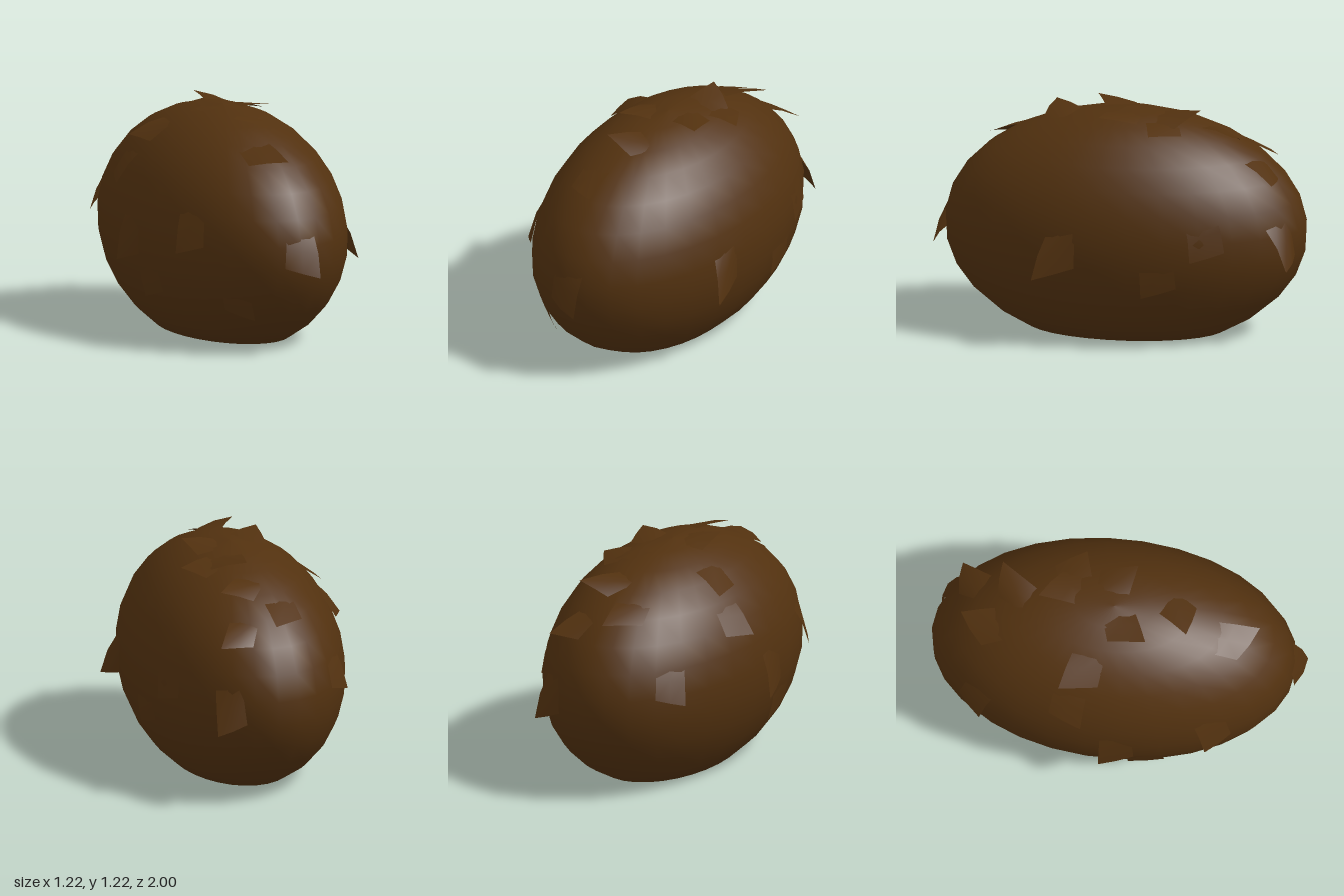
import * as THREE from 'three';

const RADII = new THREE.Vector3(0.575, 0.655, 0.975);
const CENTRE = new THREE.Vector3(0, 0.55, -0.025);

// Egg-like body with a flat underside, smooth all round
function bodyGeometry() {
  const rows = 12;
  const cut = Math.acos(-CENTRE.y / RADII.y);
  const profile = [new THREE.Vector2(0, -CENTRE.y / RADII.y)];
  for (let i = rows; i >= 0; i--) {
    const a = (cut * i) / rows;
    profile.push(new THREE.Vector2(i ? Math.sin(a) : 0, Math.cos(a)));
  }
  const geometry = new THREE.LatheGeometry(profile, 30);
  geometry.scale(RADII.x, RADII.y, RADII.z);
  geometry.translate(CENTRE.x, CENTRE.y, CENTRE.z);
  return geometry;
}

// Curved shingle: its roots sink into the body, one lower corner lifts to the tip
function scaleGeometry([x, y, z, side = 1, length = 0.25, width = 0.2]) {
  const tip = new THREE.Vector3(x, y, z).sub(CENTRE);
  const tipRadius = tip.clone().divide(RADII).length();
  const normal = tip.clone().divide(RADII).divide(RADII).normalize();
  const up = new THREE.Vector3(0, 1, 0).projectOnPlane(normal).normalize();
  const across = new THREE.Vector3().crossVectors(up, normal).multiplyScalar(side);

  const geometry = new THREE.PlaneGeometry(1, 1, 2, 2);
  const position = geometry.attributes.position;
  const p = new THREE.Vector3();
  for (let i = 0; i < position.count; i++) {
    const u = (position.getX(i) + 0.5) * 1;
    const v = position.getY(i) + 0.5;
    const s = side > 0 ? u : 1 - u;
    const edge = THREE.MathUtils.lerp(tipRadius, 1.01, s);
    const radius = THREE.MathUtils.lerp(edge, 0.985, v);
    p.copy(tip)
      .addScaledVector(across, s * width)
      .addScaledVector(up, v * length + s * 0.05)
      .divide(RADII).normalize().multiplyScalar(radius)
      .multiply(RADII).add(CENTRE);
    position.setXYZ(i, p.x, p.y, p.z);
  }
  geometry.computeVertexNormals();
  return geometry;
}

// Tip position of each shingle, then the side it spreads to, length and width
const SCALES = [
  // flanks
  [-0.61, 0.41, -0.05, 1, 0.28],
  [0.605, 0.39, 0.38, 1, 0.26],
  [-0.53, 0.53, 0.51, 1, 0.28],
  [-0.565, 0.8, -0.15, -1],
  [-0.46, 0.55, -0.7, -1],
  [-0.51, 0.23, 0.1, 1, 0.2],
  [0.52, 0.5, -0.46, 1],
  [0.54, 0.3, -0.2, 1, 0.2],
  // front
  [0.09, 0.43, 1, -1, 0.26],
  [-0.18, 0.18, 0.76, -1, 0.16, 0.16],
  [0.02, 1.02, 0.75, -1, 0.24],
  // back
  [0.32, 0.42, -0.945, 1, 0.26],
  [-0.03, 0.97, -0.84, 1, 0.2],
  [0.28, 0.88, -0.86, 1, 0.2],
  // crown
  [-0.43, 1.03, -0.28, 1],
  [-0.19, 1.215, 0.16, -1, 0.2],
  [0.24, 1.2, 0.08, 1, 0.2],
  [0.02, 1.205, -0.43, -1, 0.22],
  [0.22, 1.12, -0.64, 1, 0.22],
  [0.32, 1.13, -0.2, 1, 0.2],
  [-0.12, 1.2, 0.37, 1, 0.2],
];

export function createModel() {
  const model = new THREE.Group();
  model.name = 'scalyMound';
  const brown = new THREE.MeshStandardMaterial({ color: 0x52310f });
  brown.name = 'dark brown';
  brown.side = THREE.DoubleSide;

  const body = new THREE.Mesh(bodyGeometry(), brown);
  body.name = 'body';
  model.add(body);

  const scales = new THREE.Group();
  scales.name = 'scales';
  SCALES.forEach((spec, i) => {
    const scale = new THREE.Mesh(scaleGeometry(spec), brown);
    scale.name = `scale${i + 1}`;
    scales.add(scale);
  });
  model.add(scales);
  return model;
}
